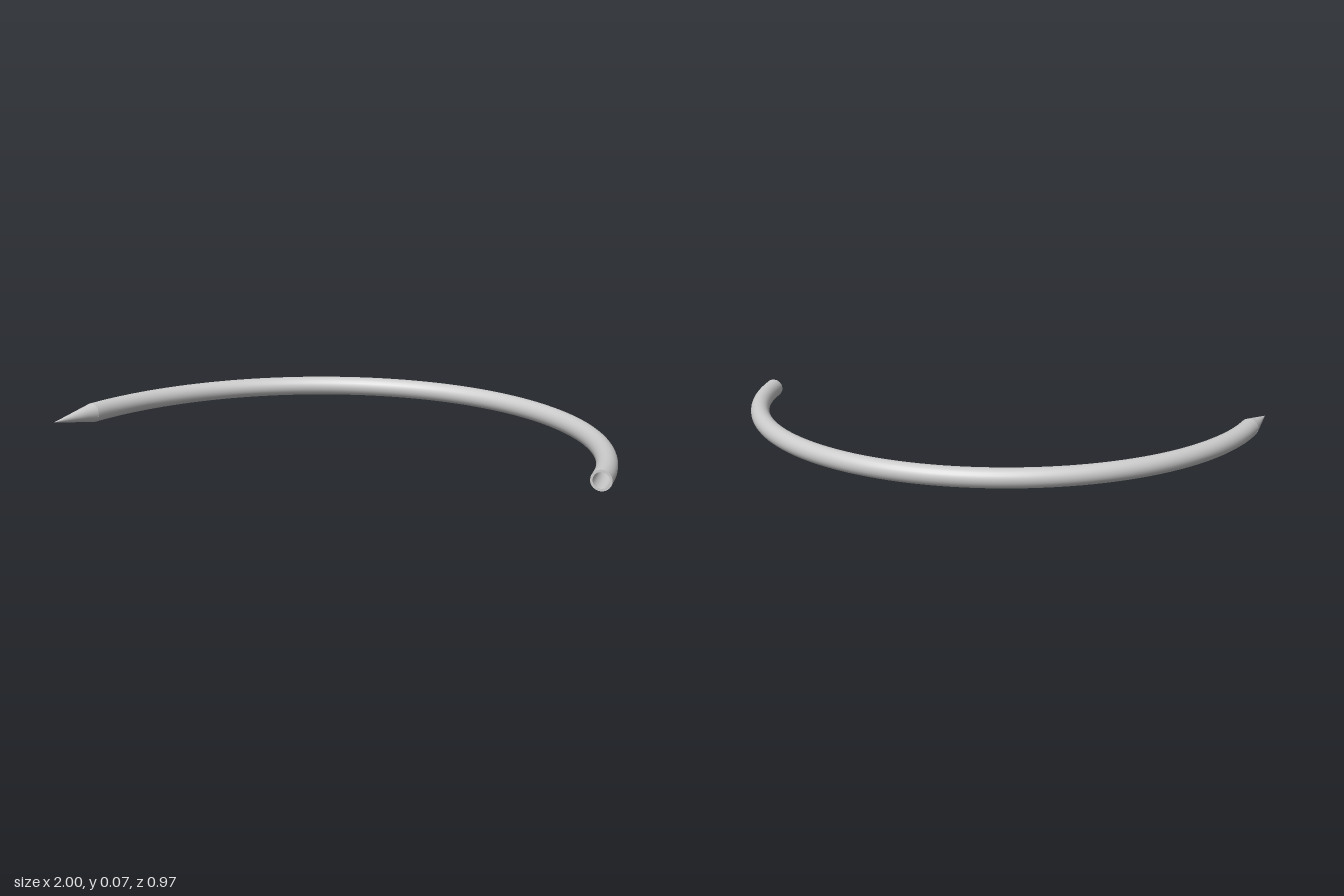
import * as THREE from 'three';

const R = 0.035;      // wire radius
const Y = 0.036;      // height of the centreline
const APEX_X = 0.03, APEX_Z = -0.45;
const SIDES = 24;

// Point on an arc that starts at the apex; side is +1 or -1, a the angle swept
function arcPoint(radius, side, a) {
  return new THREE.Vector3(
    APEX_X + side * radius * Math.sin(a), Y,
    APEX_Z + radius * (1 - Math.cos(a)));
}

// Two tangent arcs: a tighter one at the butt end, a wider one at the tip end
function centreline() {
  const pts = [], n = 16, end = Math.PI / 2, tipEnd = 1.318;
  for (let i = n; i > 0; i--) pts.push(arcPoint(0.93, 1, end * i / n));
  for (let i = 0; i <= n; i++) pts.push(arcPoint(1.007, -1, tipEnd * i / n));
  return new THREE.CatmullRomCurve3(pts);
}

export function createModel() {
  const group = new THREE.Group();
  group.name = 'curvedNeedle';
  const mat = new THREE.MeshStandardMaterial({ color: 0xcccccc, side: THREE.DoubleSide });
  const add = (name, geo) => {
    const mesh = new THREE.Mesh(geo, mat);
    mesh.name = name;
    group.add(mesh);
    return mesh;
  };

  // Curved round body
  const curve = centreline();
  add('body', new THREE.TubeGeometry(curve, 96, R, SIDES));

  // Pointed tip: a cone on the body's end ring, its apex pulled to the outside
  const base = curve.getPointAt(1), dir = curve.getTangentAt(1);
  const apex = new THREE.Vector3(-1, Y, 0.475);
  const length = apex.distanceTo(base);
  const cone = new THREE.ConeGeometry(R, length, SIDES, 4, true);
  cone.translate(0, length / 2, 0);
  cone.applyQuaternion(new THREE.Quaternion().setFromUnitVectors(new THREE.Vector3(0, 1, 0), dir));
  cone.translate(base.x, base.y, base.z);
  const shift = apex.clone().sub(base).addScaledVector(dir, -length);
  const p = cone.attributes.position, v = new THREE.Vector3();
  for (let i = 0; i < p.count; i++) {
    v.fromBufferAttribute(p, i);
    const t = v.clone().sub(base).dot(dir) / length;
    v.addScaledVector(shift, t);
    p.setXYZ(i, v.x, v.y, v.z);
  }
  cone.computeVertexNormals();
  add('tip', cone);

  // Hollow butt end: rim, bore and bore floor
  const butt = curve.getPointAt(0);
  add('buttRim', new THREE.RingGeometry(0.027, R, SIDES)).position.copy(butt);
  const borePts = [0, 1, 2, 3].map(i => curve.getPointAt(i * 0.02));
  const boreCurve = new THREE.CatmullRomCurve3(borePts);
  add('bore', new THREE.TubeGeometry(boreCurve, 8, 0.027, SIDES));
  const floor = add('boreFloor', new THREE.CircleGeometry(0.027, SIDES));
  floor.position.copy(borePts[3]);
  floor.lookAt(borePts[2]);

  return group;
}
